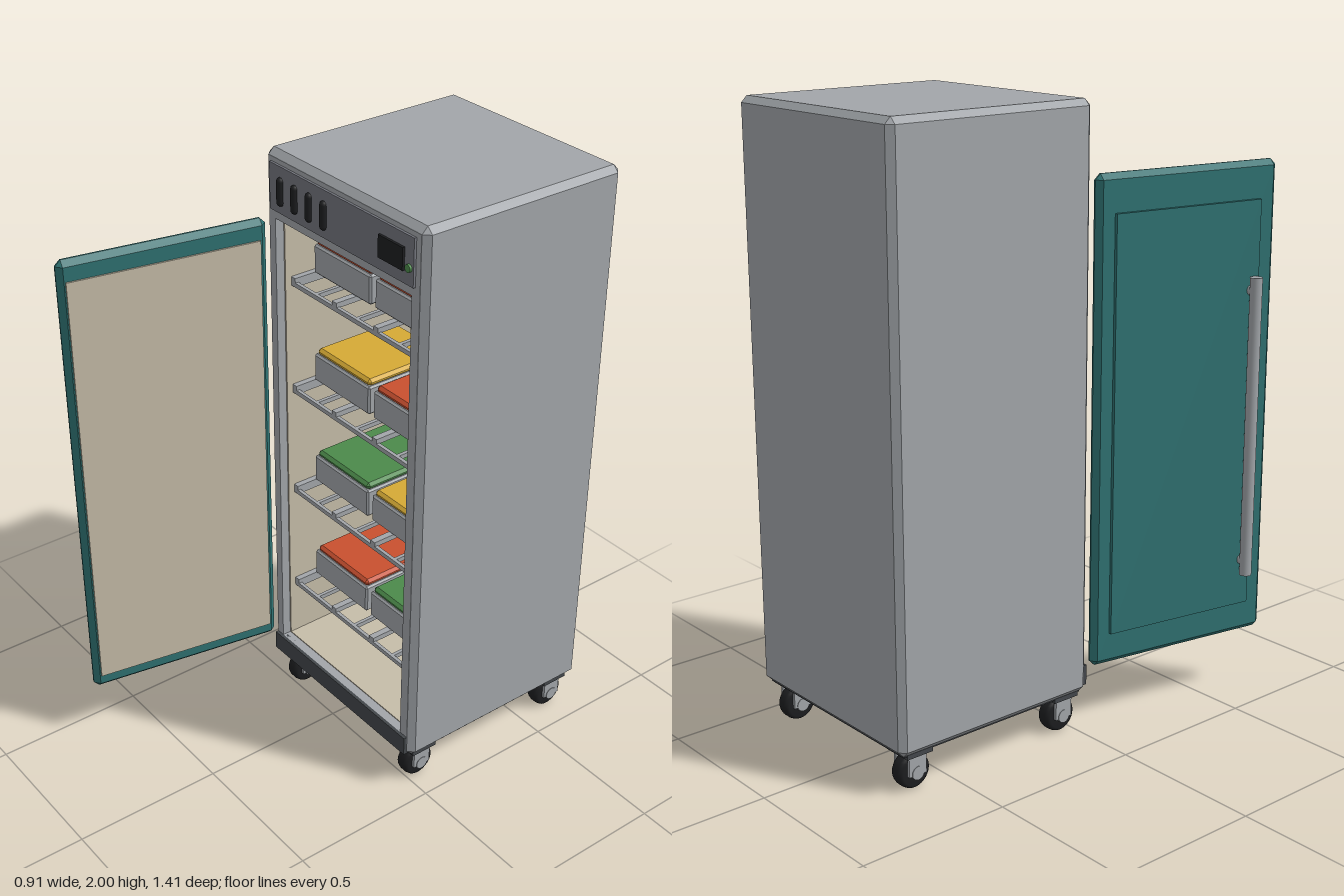
import * as THREE from 'three';
import { ConvexGeometry } from 'three/addons/geometries/ConvexGeometry.js';

const mat = (name, color) => {
  const m = new THREE.MeshStandardMaterial({ color });
  m.name = name;
  return m;
};
const steel = mat('steel', 0xa2a6aa);
const lining = mat('lining', 0xc6bda9);
const charcoal = mat('charcoal', 0x43474b);
const teal = mat('teal', 0x2f7272);
const fascia = mat('fascia', 0x74767e);
const black = mat('black', 0x1d1e20);
const red = mat('red', 0xc9502f);
const yellow = mat('yellow', 0xd6aa35);
const green = mat('green', 0x4c8a4b);
const tan = mat('tan', 0xc8b88f);

function add(parent, name, geometry, material) {
  const mesh = new THREE.Mesh(geometry, material);
  mesh.name = name;
  parent.add(mesh);
  return mesh;
}

// Plain box given by its limits on each axis
function box(parent, name, material, [x0, x1], [y0, y1], [z0, z1]) {
  const g = new THREE.BoxGeometry(x1 - x0, y1 - y0, z1 - z0);
  g.translate((x0 + x1) / 2, (y0 + y1) / 2, (z0 + z1) / 2);
  return add(parent, name, g, material);
}

// Box with all edges cut by c
function chamferBox(parent, name, material, X, Y, Z, c) {
  const points = [];
  for (const i of [0, 1]) for (const j of [0, 1]) for (const k of [0, 1]) {
    const corner = [X[i], Y[j], Z[k]];
    const inset = [X[i] + (i ? -c : c), Y[j] + (j ? -c : c), Z[k] + (k ? -c : c)];
    for (let a = 0; a < 3; a++) {
      const p = [...inset];
      p[a] = corner[a];
      points.push(new THREE.Vector3(...p));
    }
  }
  return add(parent, name, new ConvexGeometry(points), material);
}

function cylinder(parent, name, material, r, h, x, y, z, sides = 24) {
  const m = add(parent, name, new THREE.CylinderGeometry(r, r, h, sides), material);
  m.position.set(x, y, z);
  return m;
}

function group(parent, name) {
  const g = new THREE.Group();
  g.name = name;
  parent.add(g);
  return g;
}

function rectPath(path, x0, x1, y0, y1) {
  path.moveTo(x0, y0).lineTo(x1, y0).lineTo(x1, y1).lineTo(x0, y1).closePath();
  return path;
}

function buildCabinet(root) {
  const g = group(root, 'cabinet');
  const X = [-0.29, 0.455], Y = [0.133, 2], Z = [-0.705, 0.032], c = 0.02;
  chamferBox(g, 'leftWall', steel, [0.405, X[1]], Y, Z, c);
  chamferBox(g, 'rightWall', steel, [X[0], -0.245], Y, Z, c);
  chamferBox(g, 'roof', steel, X, [1.79, Y[1]], Z, c);
  chamferBox(g, 'base', steel, X, [Y[0], 0.205], Z, c);
  chamferBox(g, 'backWall', steel, X, Y, [Z[0], -0.66], c);
  // Flat frame round the opening
  const ring = rectPath(new THREE.Shape(), -0.27, 0.435, 0.153, 1.98);
  ring.holes.push(rectPath(new THREE.Path(), -0.24, 0.4, 0.212, 1.785));
  const frame = add(g, 'frontFrame', new THREE.ExtrudeGeometry(ring, { depth: 0.03, bevelEnabled: false }), steel);
  frame.position.z = 0.003;
  // Interior lining
  const ly = [0.2, 1.8], lz = [-0.665, 0.002];
  box(g, 'liningLeft', lining, [0.396, 0.41], ly, lz);
  box(g, 'liningRight', lining, [-0.25, -0.236], ly, lz);
  box(g, 'liningBack', lining, [-0.25, 0.41], ly, [-0.665, -0.65]);
  box(g, 'liningFloor', lining, [-0.25, 0.41], [0.2, 0.214], lz);
  box(g, 'liningCeiling', lining, [-0.25, 0.41], [1.78, 1.795], lz);
  // Kick plate and underside
  box(g, 'kickPlate', charcoal, [-0.27, 0.435], [0.145, 0.212], [0.02, 0.044]);
  box(g, 'underside', charcoal, [-0.27, 0.435], [0.129, 0.15], [-0.685, 0.012]);
}

function buildControls(root) {
  const g = group(root, 'controlPanel');
  box(g, 'panelPlate', fascia, [-0.255, 0.415], [1.815, 1.965], [0.03, 0.041]);
  for (const x of [-0.2, -0.13, -0.06, 0.01]) {
    const slot = add(g, 'ventSlot', new THREE.CapsuleGeometry(0.013, 0.066, 4, 12), black);
    slot.position.set(x, 1.886, 0.041);
  }
  box(g, 'display', black, [0.268, 0.376], [1.855, 1.925], [0.04, 0.049]);
  const lamp = cylinder(g, 'statusLamp', green, 0.012, 0.012, 0.397, 1.87, 0.043, 16);
  lamp.rotation.x = Math.PI / 2;
}

function buildDoor(root) {
  // Local z runs along the open door, local +x is its inner face
  const g = group(root, 'door');
  g.position.set(-0.283, 0, 0.043);
  g.rotation.y = -10 * Math.PI / 180;
  chamferBox(g, 'doorSlab', teal, [-0.021, 0.021], [0.213, 1.779], [0, 0.667], 0.018);
  box(g, 'doorLiner', lining, [0.018, 0.027], [0.265, 1.714], [0.025, 0.645]);
  box(g, 'doorPanel', teal, [-0.033, -0.018], [0.32, 1.66], [0.06, 0.597]);
  cylinder(g, 'handleBar', steel, 0.02, 0.99, -0.058, 0.925, 0.568);
  for (const y of [0.475, 1.375]) {
    const post = cylinder(g, 'handlePost', steel, 0.017, 0.04, -0.036, y, 0.568, 16);
    post.rotation.z = Math.PI / 2;
  }
}

function buildShelf(root, y, lids) {
  const g = group(root, 'shelf');
  // Rack
  const thin = [y, y + 0.015];
  for (const z of [-0.02, -0.23, -0.43, -0.63]) box(g, 'crossBar', steel, [-0.236, 0.396], thin, [z - 0.012, z]);
  for (const x of [-0.226, 0.386]) box(g, 'sideRail', steel, [x - 0.01, x + 0.01], [y, y + 0.03], [-0.642, -0.02]);
  for (const x of [-0.02, 0.18]) box(g, 'slat', steel, [x - 0.011, x + 0.011], [y + 0.012, y + 0.03], [-0.642, -0.02]);
  for (const x of [-0.12, 0.08, 0.28]) box(g, 'slat', steel, [x - 0.006, x + 0.006], thin, [-0.642, -0.02]);
  // Lidded bins in front
  [-0.075, 0.225].forEach((x, i) => {
    chamferBox(g, 'bin', steel, [x - 0.14, x + 0.14], [y + 0.03, y + 0.128], [-0.41, -0.09], 0.006);
    chamferBox(g, 'binLid', lids[i], [x - 0.134, x + 0.134], [y + 0.122, y + 0.148], [-0.404, -0.096], 0.01);
  });
  // Packets behind
  chamferBox(g, 'shortPacket', tan, [-0.18, -0.03], [y + 0.03, y + 0.154], [-0.6, -0.45], 0.008);
  chamferBox(g, 'tallPacket', tan, [0.2, 0.356], [y + 0.03, y + 0.212], [-0.6, -0.45], 0.008);
}

function buildCaster(root, x, z) {
  const g = group(root, 'caster');
  g.position.set(x, 0, z);
  box(g, 'mountPlate', charcoal, [-0.05, 0.05], [0.118, 0.134], [-0.048, 0.048]);
  box(g, 'forkTop', steel, [-0.038, 0.038], [0.108, 0.12], [-0.034, 0.034]);
  for (const s of [-1, 1]) {
    const a = s * 0.033;
    box(g, 'forkArm', steel, [a - 0.005, a + 0.005], [0.05, 0.115], [-0.032, 0.032]);
  }
  // Wheel with rounded tread
  const profile = [[0, -0.026], [0.045, -0.026], [0.054, -0.02], [0.057, -0.01], [0.057, 0.01], [0.054, 0.02], [0.045, 0.026], [0, 0.026]];
  const wheel = add(g, 'wheel', new THREE.LatheGeometry(profile.map(p => new THREE.Vector2(...p)), 28), black);
  wheel.rotation.z = Math.PI / 2;
  wheel.position.y = 0.057;
  const hub = cylinder(g, 'hub', steel, 0.022, 0.08, 0, 0.057, 0);
  hub.rotation.z = Math.PI / 2;
}

export function createModel() {
  const root = new THREE.Group();
  root.name = 'storageCabinet';
  buildCabinet(root);
  buildControls(root);
  buildDoor(root);
  const rows = [[red, green], [green, yellow], [yellow, red], [red, red]];
  rows.forEach((lids, i) => buildShelf(root, 0.408 + i * 0.38, lids));
  for (const x of [-0.222, 0.387]) for (const z of [-0.043, -0.625]) buildCaster(root, x, z);
  return root;
}
